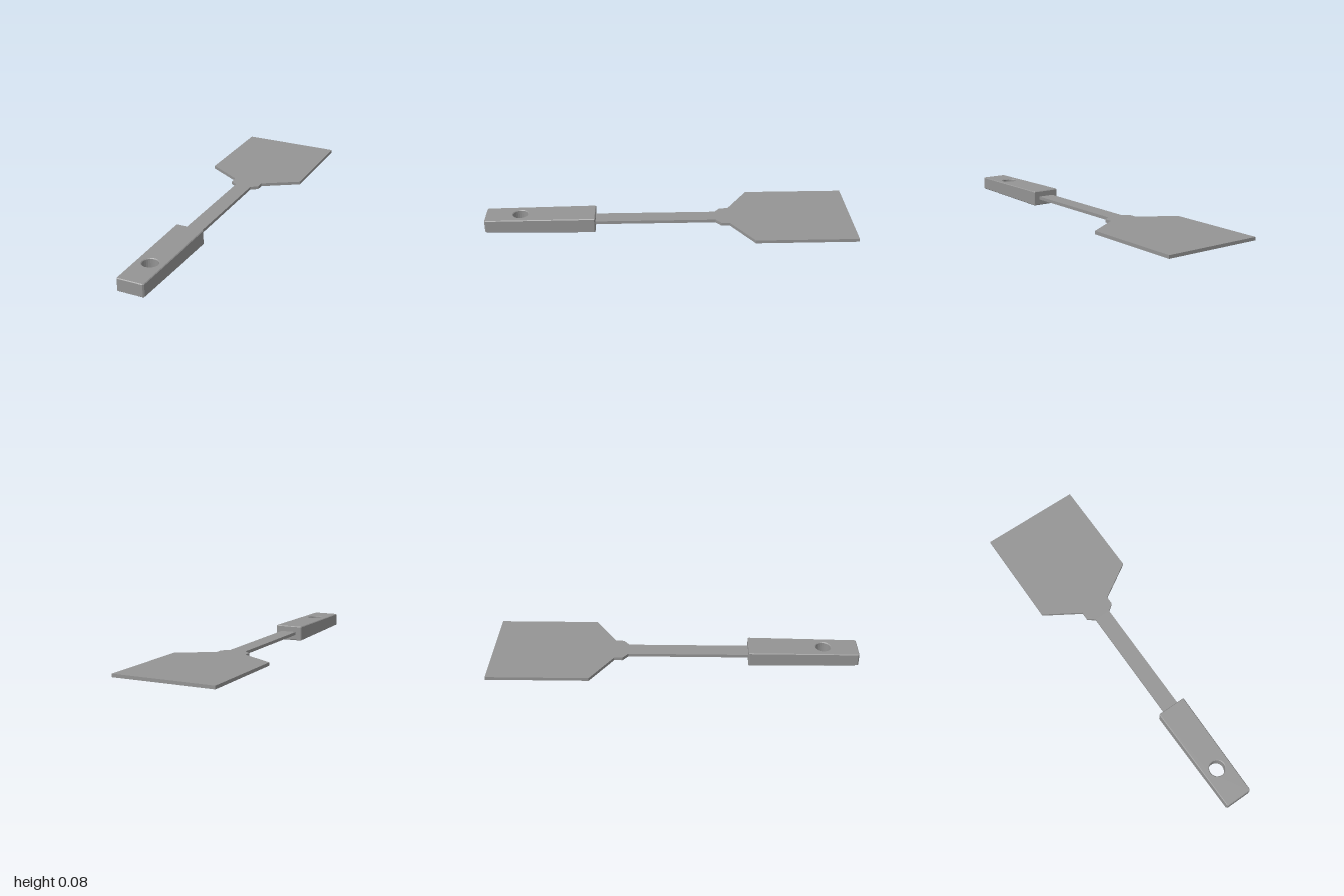
import * as THREE from 'three';

// Extrudes a plan outline (x, z) downward from height top to height bottom.
function slab(shape, bottom, top, bevel = 0) {
  const g = new THREE.ExtrudeGeometry(shape, {
    depth: top - bottom - 2 * bevel,
    bevelEnabled: bevel > 0, bevelThickness: bevel, bevelSize: bevel,
    bevelOffset: -bevel, bevelSegments: 1, curveSegments: 12,
  });
  g.rotateX(Math.PI / 2);
  g.translate(0, top - bevel, 0);
  return g;
}

// Closes a half outline by mirroring it across x = 0.
function mirrored(half) {
  const left = half.map(([x, z]) => [-x, z]).reverse();
  return new THREE.Shape([...half, ...left].map(([x, z]) => new THREE.Vector2(x, z)));
}

export function createModel() {
  const model = new THREE.Group();
  model.name = 'spatula';
  const grey = new THREE.MeshStandardMaterial({ color: 0x949494 });
  grey.name = 'grey';

  // Flat blade, shoulders and stem in one sheet
  const sheet = mirrored([
    [0.275, -1], [0.275, -0.45], [0.083, -0.33], [0.083, -0.285],
    [0.045, -0.255], [0.045, 0.45],
  ]);
  const blade = new THREE.Mesh(slab(sheet, 0.033, 0.05), grey);
  blade.name = 'bladeAndStem';
  model.add(blade);

  // Handle with chamfered corners and a round hanging hole
  const outline = mirrored([
    [0.075, 0.4], [0.08, 0.405], [0.08, 0.993], [0.073, 1],
  ]);
  const hole = new THREE.Path();
  hole.absarc(0, 0.81, 0.042, 0, Math.PI * 2, true);
  outline.holes.push(hole);
  const geometry = slab(outline, 0, 0.083, 0.004);

  // Taper the handle slightly toward its free end
  const p = geometry.attributes.position;
  for (let i = 0; i < p.count; i++) {
    const t = (p.getZ(i) - 0.4) / 0.6;
    const onHole = Math.hypot(p.getX(i), p.getZ(i) - 0.81) < 0.055;
    if (!onHole) p.setX(i, p.getX(i) * (1 - 0.08 * t));
    p.setY(i, 0.0415 + (p.getY(i) - 0.0415) * (1 - 0.15 * t));
  }
  geometry.computeVertexNormals();
  const handle = new THREE.Mesh(geometry, grey);
  handle.name = 'handle';
  model.add(handle);

  return model;
}
